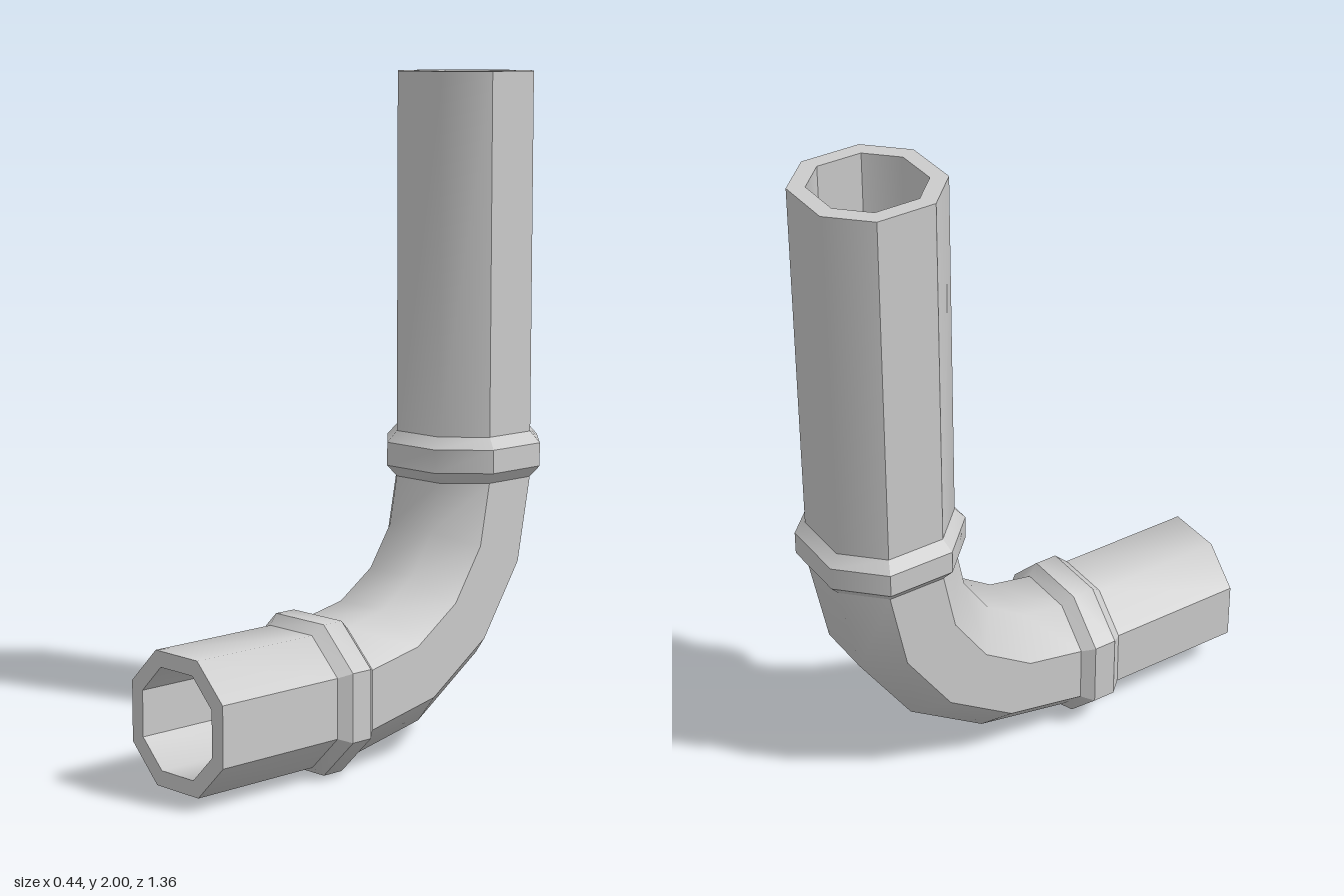
import * as THREE from 'three';

const OUTER = 0.194, INNER = 0.148, COLLAR = 0.222; // apothems
const R = 0.57, AXIS_Y = 0.223, AXIS_Z = -0.456;    // bend radius, pipe axes
const BEND_Y = AXIS_Y + R, BEND_Z = AXIS_Z + R;     // centre of the bend
const FRONT = 0.68, TOP = 2, BEND_STEPS = 4;
const COLLAR_LENGTH = 0.138, BEVEL = 0.034;

// Octagonal cross-section; angle 0 points to the back, PI / 2 points up
function ring(y, z, angle, a) {
  const k = a * 0.455;
  const corners = [[a, -k], [a, k], [k, a], [-k, a], [-a, k], [-a, -k], [-k, -a], [k, -a]];
  return corners.map(([u, v]) => [u, y + v * Math.cos(angle), z + v * Math.sin(angle)]);
}
const level = (z, a) => ring(AXIS_Y, z, 0, a);
const upright = (y, a) => ring(y, AXIS_Z, Math.PI / 2, a);

function bend(a) {
  return Array.from({ length: BEND_STEPS + 1 }, (_, i) => {
    const t = (i / BEND_STEPS) * Math.PI / 2;
    return ring(BEND_Y - R * Math.cos(t), BEND_Z - R * Math.sin(t), t, a);
  });
}

// Skin over rings: two flat sides, with smooth strips between them
const STRIPS = [[0, 1], [1, 2, 3, 4], [4, 5], [5, 6, 7, 0]];

function skin(rings) {
  const pos = [], index = [];
  for (const strip of STRIPS) {
    const base = pos.length / 3, n = strip.length;
    for (const r of rings) for (const c of strip) pos.push(...r[c]);
    for (let i = 0; i < rings.length - 1; i++) {
      for (let j = 0; j < n - 1; j++) {
        const p = base + i * n + j, q = p + n;
        index.push(p, q, p + 1, p + 1, q, q + 1);
      }
    }
  }
  const g = new THREE.BufferGeometry();
  g.setAttribute('position', new THREE.Float32BufferAttribute(pos, 3));
  g.setIndex(index);
  g.computeVertexNormals();
  return g;
}

export function createModel() {
  const group = new THREE.Group();
  const material = new THREE.MeshStandardMaterial({ color: 0xcccccc });
  const add = (name, rings, parent = group) => {
    const mesh = new THREE.Mesh(skin(rings), material);
    mesh.name = name;
    parent.add(mesh);
  };

  // Outer walls
  add('frontPipe', [level(FRONT, OUTER), level(BEND_Z + COLLAR_LENGTH, OUTER)]);
  add('elbow', bend(OUTER));
  add('upperPipe', [upright(BEND_Y + COLLAR_LENGTH, OUTER), upright(TOP, OUTER)]);

  // Collars with crisp bevelled edges
  const profile = [[0, OUTER], [BEVEL, COLLAR], [COLLAR_LENGTH - BEVEL, COLLAR], [COLLAR_LENGTH, OUTER]];
  const addCollar = (name, rings) => {
    const collar = new THREE.Group();
    collar.name = name;
    ['firstBevel', 'band', 'secondBevel'].forEach((part, i) => add(part, [rings[i], rings[i + 1]], collar));
    group.add(collar);
  };
  addCollar('frontCollar', profile.map(([d, a]) => level(BEND_Z + COLLAR_LENGTH - d, a)));
  addCollar('upperCollar', profile.map(([d, a]) => upright(BEND_Y + d, a)));

  // Rims at the open ends
  add('frontRim', [level(FRONT, INNER), level(FRONT, OUTER)]);
  add('upperRim', [upright(TOP, OUTER), upright(TOP, INNER)]);

  // Bore, running back from the top so that it faces inwards
  const bore = bend(INNER).reverse();
  add('upperBore', [upright(TOP, INNER), bore[0]]);
  add('elbowBore', bore);
  add('frontBore', [bore[BEND_STEPS], level(FRONT, INNER)]);

  return group;
}
